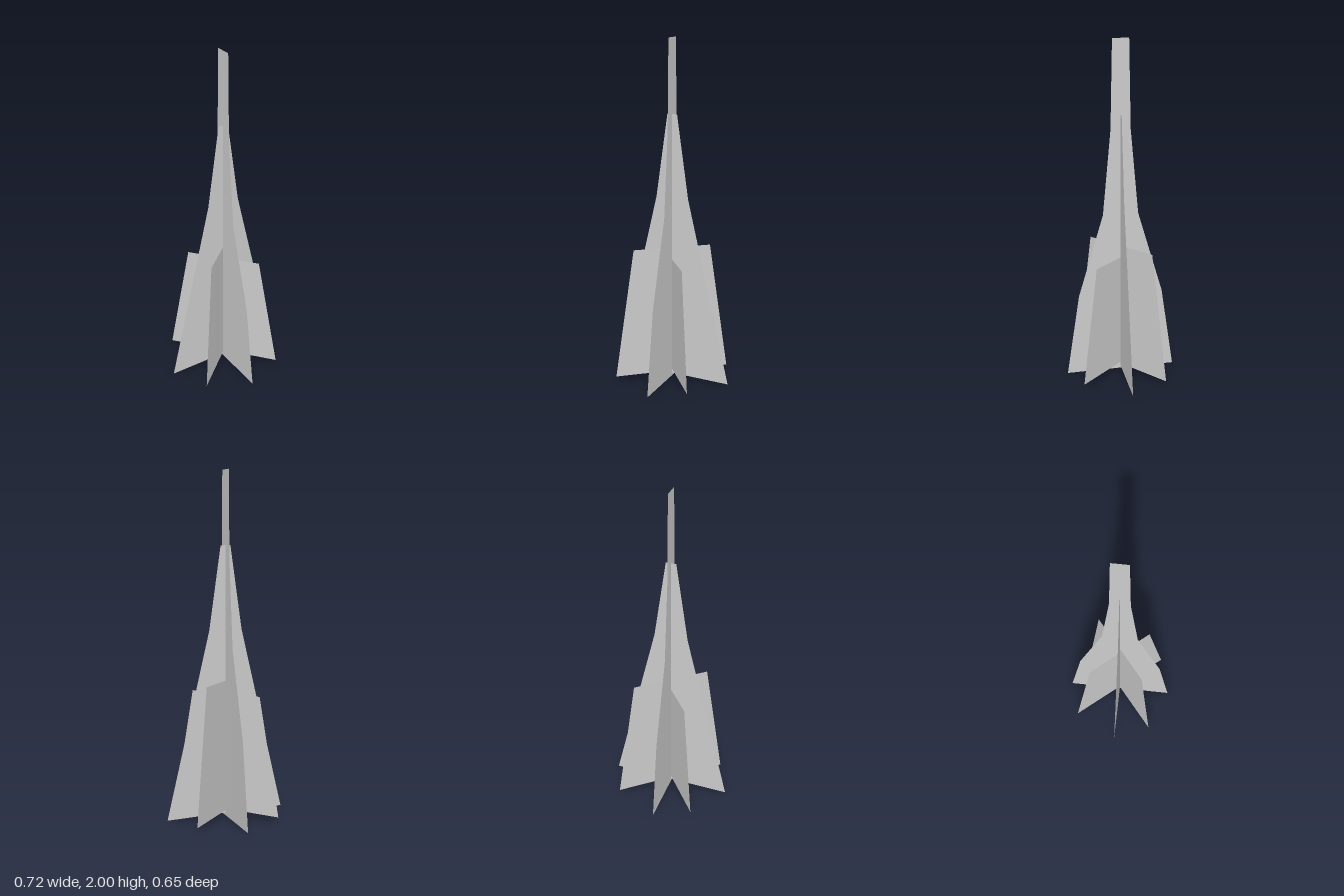
import * as THREE from 'three';

// Flat upright card, mirrored about its axis, from [halfWidth, y] points (bottom to top)
function makeCard(name, profile, angle, material) {
  const right = profile.map(([w, y]) => new THREE.Vector2(w, y));
  const left = profile.map(([w, y]) => new THREE.Vector2(-w, y)).reverse();
  const mesh = new THREE.Mesh(new THREE.ShapeGeometry(new THREE.Shape([...right, ...left])), material);
  mesh.name = name;
  mesh.rotation.y = angle;
  return mesh;
}

export function createModel() {
  const group = new THREE.Group();
  group.name = 'crossedCardTree';
  const material = new THREE.MeshStandardMaterial({ color: 0xcccccc, side: THREE.DoubleSide, flatShading: true });

  const cards = [
    // Tall card running front to back
    ['tallCard', [[0.325, 0], [0.25, 0.5], [0.103, 1], [0.057, 1.5], [0.047, 2]], Math.PI / 2],
    // Broad card running side to side
    ['broadCard', [[0.36, 0.015], [0.1, 1.1], [0.03, 1.58]], 0],
    // Two short cards on the diagonals
    ['diagonalCardA', [[0.341, 0.03], [0.228, 0.805]], 0.7],
    ['diagonalCardB', [[0.339, 0.04], [0.217, 0.73]], 0.7 - Math.PI / 2],
  ];
  for (const [name, profile, angle] of cards) group.add(makeCard(name, profile, angle, material));
  return group;
}
